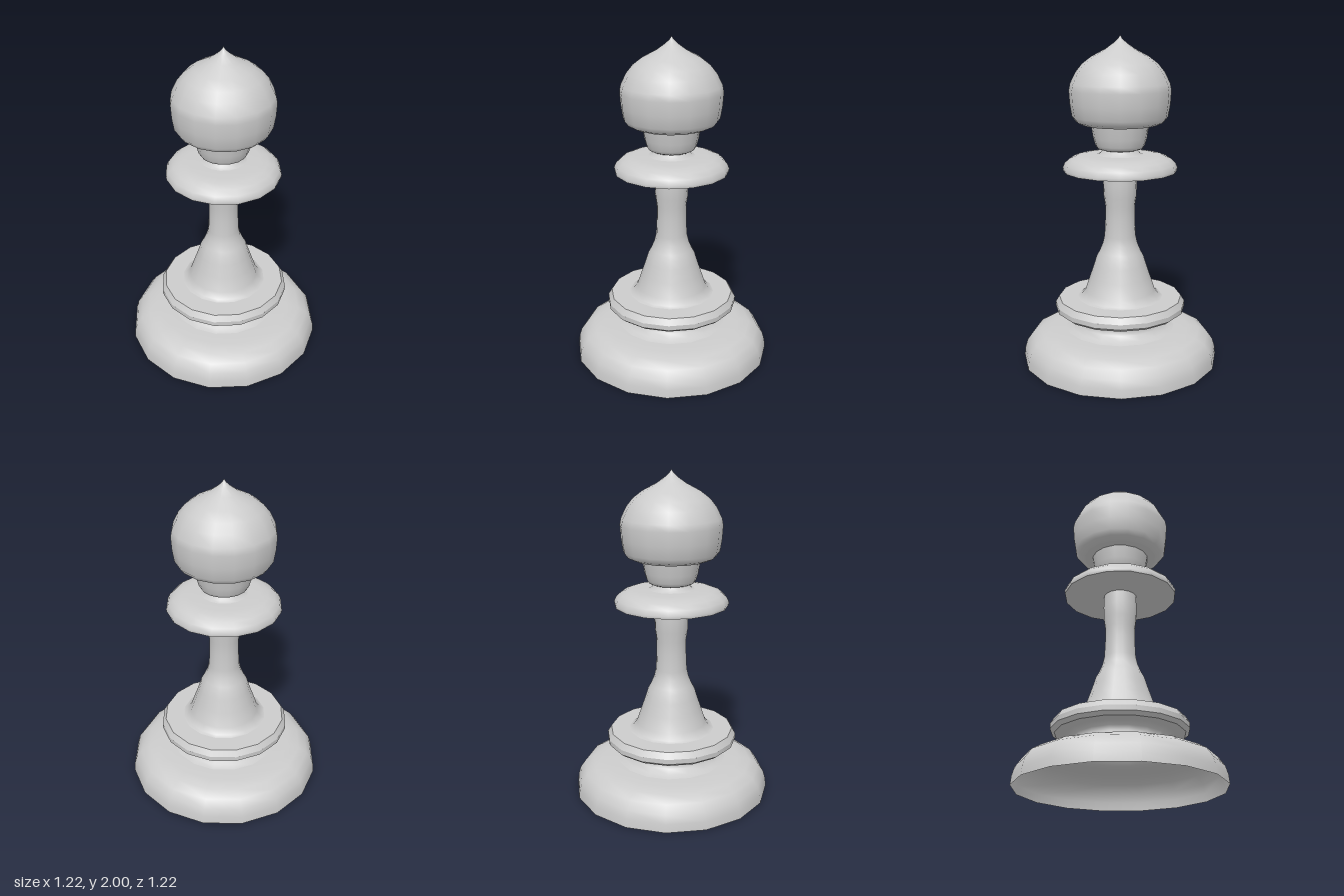
import * as THREE from 'three';

const SIDES = 16;

export function createModel() {
  const model = new THREE.Group();
  const material = new THREE.MeshStandardMaterial({ color: 0xcccccc, side: THREE.DoubleSide });

  // Each part is a stack of turned bands [radius, height, ...], smooth within a band
  // and creased where one band meets the next.
  const turned = (name, ...bands) => {
    const part = new THREE.Group();
    part.name = name;
    for (const band of bands) {
      const points = [];
      for (let i = 0; i < band.length; i += 2) points.push(new THREE.Vector2(band[i], band[i + 1]));
      const mesh = new THREE.Mesh(new THREE.LatheGeometry(points, SIDES), material);
      mesh.name = name + 'Surface';
      part.add(mesh);
    }
    model.add(part);
  };

  // Hollow domed foot, open underneath
  turned('base', [0.61, 0, 0.605, 0.05, 0.59, 0.1, 0.555, 0.15, 0.5, 0.182, 0.43, 0.196, 0.34, 0.2]);

  // Concave waist between foot and lower ring
  turned('waist', [0.34, 0.2, 0.305, 0.21, 0.275, 0.235, 0.267, 0.265, 0.275, 0.29, 0.3, 0.307, 0.32, 0.31]);

  // Lower ring with chamfered edges
  turned('lowerRing',
    [0.32, 0.31, 0.38, 0.31],
    [0.38, 0.31, 0.405, 0.33],
    [0.405, 0.33, 0.405, 0.36],
    [0.405, 0.36, 0.382, 0.397],
    [0.382, 0.397, 0.265, 0.397]);

  // Flared body tapering into a slim stem
  turned('stem', [
    0.265, 0.397, 0.245, 0.405, 0.217, 0.44, 0.187, 0.53, 0.16, 0.61, 0.145, 0.66, 0.128, 0.69,
    0.107, 0.74, 0.096, 0.79, 0.091, 0.9, 0.091, 0.98, 0.1, 1.04, 0.103, 1.12, 0.1, 1.2]);

  // Wide collar: flat underside, rounded top
  turned('collar',
    [0.1, 1.2, 0.345, 1.198],
    [0.345, 1.198, 0.348, 1.215, 0.335, 1.245, 0.305, 1.272, 0.265, 1.288, 0.22, 1.295, 0.14, 1.297],
    [0.14, 1.297, 0.12, 1.305, 0.105, 1.325]);

  // Cup under the head
  turned('neck',
    [0.105, 1.325, 0.125, 1.33],
    [0.125, 1.33, 0.14, 1.338, 0.15, 1.355, 0.163, 1.4, 0.175, 1.475]);

  // Bulbous head ending in a fine point
  turned('head',
    [0.175, 1.475, 0.225, 1.477],
    [0.225, 1.477, 0.265, 1.495, 0.288, 1.525, 0.3, 1.6, 0.305, 1.68, 0.297, 1.72, 0.265, 1.785,
      0.225, 1.835, 0.17, 1.877, 0.085, 1.922, 0.035, 1.958, 0.012, 1.98, 0, 2]);

  return model;
}
